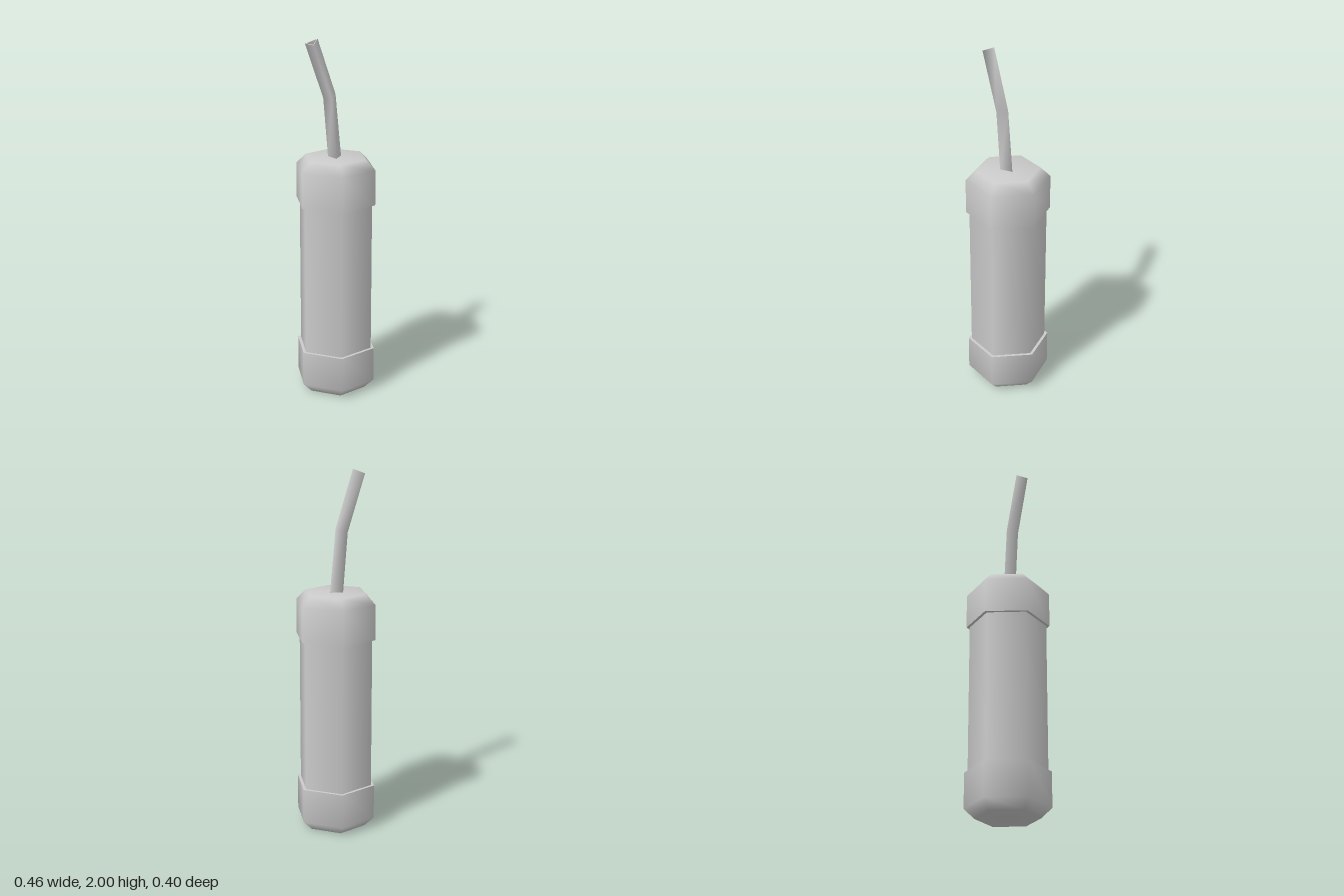
import * as THREE from 'three';

const material = new THREE.MeshStandardMaterial({ color: 0xcccccc });
const strawMaterial = new THREE.MeshStandardMaterial({ color: 0xcccccc, side: THREE.DoubleSide });

function addMesh(parent, name, geometry, mat = material) {
  const mesh = new THREE.Mesh(geometry, mat);
  mesh.name = name;
  parent.add(mesh);
}

// Six-sided lathe with its corners on the x axis; profile of [radius, y] from bottom to top
function hexLathe(profile) {
  const points = profile.map(([r, y]) => new THREE.Vector2(r, y));
  return new THREE.LatheGeometry(points, 6, Math.PI / 2);
}

// Triangular ring: one ridge corner on the +x side and two back corners,
// given as [ridgeX, ridgeY, backX, backY, halfWidth]; shrunk about its centre by scale
function triangleRing([rx, ry, bx, by, w], scale = 1) {
  const corners = [[rx, ry, 0], [bx, by, -w], [bx, by, w]].map((p) => new THREE.Vector3(...p));
  const centre = new THREE.Vector3((rx + 2 * bx) / 3, (ry + 2 * by) / 3, 0);
  return corners.map((p) => p.sub(centre).multiplyScalar(scale).add(centre));
}

// Joins successive rings with smooth walls
function loft(rings) {
  const n = rings[0].length;
  const index = [];
  for (let i = 0; i < rings.length - 1; i++) {
    for (let j = 0; j < n; j++) {
      const a = i * n + j, b = i * n + (j + 1) % n;
      index.push(a, b, b + n, a, b + n, a + n);
    }
  }
  const geometry = new THREE.BufferGeometry().setFromPoints(rings.flat());
  geometry.setIndex(index);
  geometry.computeVertexNormals();
  return geometry;
}

export function createModel() {
  const model = new THREE.Group();
  model.name = 'drinkContainer';

  // Hexagonal body running between the two caps
  addMesh(model, 'body', hexLathe([[0.212, 0.2], [0.212, 1.15]]));

  // Bevelled caps, each with a flat lip that meets the body
  const bottom = new THREE.Group();
  bottom.name = 'bottomCap';
  addMesh(bottom, 'bottomShell', hexLathe([[0, 0], [0.175, 0], [0.23, 0.055], [0.23, 0.25]]));
  addMesh(bottom, 'bottomLip', hexLathe([[0.23, 0.25], [0.2, 0.25]]));

  const top = new THREE.Group();
  top.name = 'topCap';
  addMesh(top, 'topLip', hexLathe([[0.2, 1.095], [0.23, 1.095]]));
  addMesh(top, 'topShell', hexLathe([[0.23, 1.095], [0.23, 1.29], [0.175, 1.345], [0, 1.345]]));
  model.add(bottom, top);

  // Bent, hollow three-sided straw
  const sections = [
    [0.04, 1.33, -0.022, 1.33, 0.036],
    [0.0, 1.69, -0.055, 1.67, 0.036],
    [-0.12, 2.0, -0.175, 1.975, 0.036],
  ];
  const outer = sections.map((s) => triangleRing(s));
  const inner = sections.map((s) => triangleRing(s, 0.82));
  const straw = new THREE.Group();
  straw.name = 'straw';
  addMesh(straw, 'strawOuterWall', loft(outer), strawMaterial);
  addMesh(straw, 'strawInnerWall', loft([...inner].reverse()), strawMaterial);
  addMesh(straw, 'strawRim', loft([outer[2], inner[2]]), strawMaterial);
  model.add(straw);

  return model;
}
